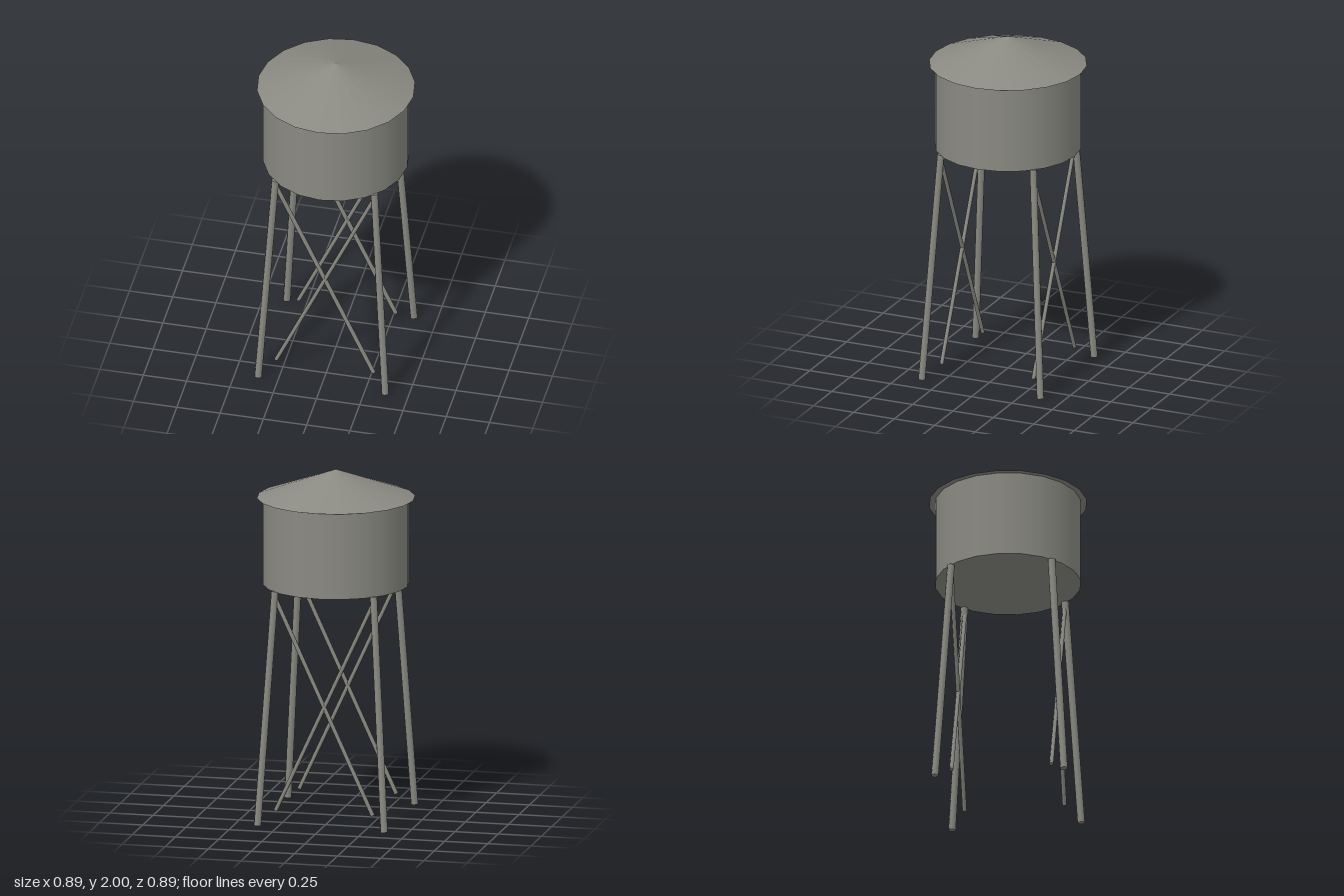
import * as THREE from 'three';

const steel = new THREE.MeshStandardMaterial({ color: 0x8a8a82 });
steel.name = 'weathered grey steel';

// Straight round bar between two points
function bar(name, a, b, radius, sides) {
  const dir = b.clone().sub(a);
  const mesh = new THREE.Mesh(new THREE.CylinderGeometry(radius, radius, dir.length(), sides), steel);
  mesh.name = name;
  mesh.position.copy(a).lerp(b, 0.5);
  mesh.quaternion.setFromUnitVectors(new THREE.Vector3(0, 1, 0), dir.normalize());
  return mesh;
}

export function createModel() {
  const tower = new THREE.Group();
  tower.name = 'waterTower';

  // Tank
  const tank = new THREE.Mesh(new THREE.CylinderGeometry(0.413, 0.413, 0.5, 20), steel);
  tank.name = 'tank';
  tank.position.y = 1.59;
  tower.add(tank);

  // Conical roof with overhanging eave
  const roof = new THREE.Mesh(new THREE.ConeGeometry(0.447, 0.16, 20), steel);
  roof.name = 'roof';
  roof.position.y = 1.92;
  tower.add(roof);

  // Four splayed legs
  for (const sx of [-1, 1]) {
    for (const sz of [-1, 1]) {
      const foot = new THREE.Vector3(sx * 0.367, 0.002, sz * 0.367);
      const top = new THREE.Vector3(sx * 0.286, 1.342, sz * 0.286);
      tower.add(bar('leg', foot, top, 0.021, 8));
    }
  }

  // Crossed braces on the front and back
  for (const sz of [-1, 1]) {
    for (const sx of [-1, 1]) {
      const low = new THREE.Vector3(sx * 0.281, 0.075, sz * 0.284);
      const high = new THREE.Vector3(-sx * 0.281, 1.295, sz * 0.284);
      tower.add(bar(sz > 0 ? 'frontBrace' : 'backBrace', low, high, 0.0125, 6));
    }
  }

  return tower;
}
